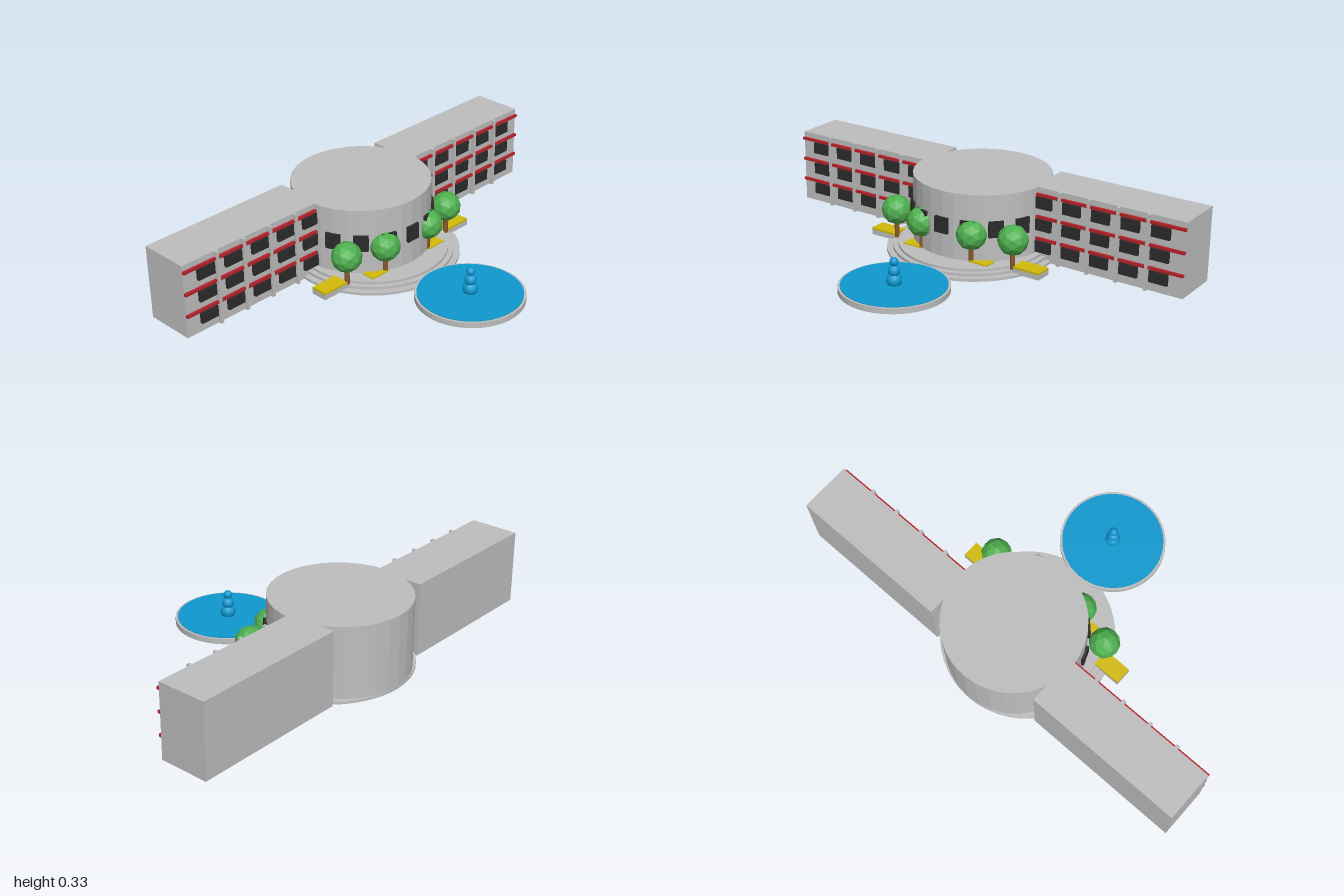
import * as THREE from 'three';

const mat = (name, color, flatShading = false) => {
  const m = new THREE.MeshStandardMaterial({ color });
  m.name = name;
  m.flatShading = flatShading;
  return m;
};

export function createModel() {
  const concrete = mat('concrete', 0xbebebe, true);
  const glass = mat('darkGlass', 0x2b2b2b);
  const red = mat('redLedge', 0xb8232a);
  const leaf = mat('leafGreen', 0x4fb04f, true);
  const bark = mat('bark', 0x8a5a2b);
  const yellow = mat('yellowPanel', 0xd2bb0a);
  const water = mat('waterBlue', 0x0f98d0);

  const model = new THREE.Group();
  model.name = 'building';

  const add = (parent, name, geometry, material, x, y, z) => {
    const mesh = new THREE.Mesh(geometry, material);
    mesh.name = name;
    mesh.position.set(x, y, z);
    parent.add(mesh);
    return mesh;
  };
  // Box given by its min and max on each axis
  const box = (parent, name, material, [x0, x1], [y0, y1], [z0, z1]) =>
    add(parent, name, new THREE.BoxGeometry(x1 - x0, y1 - y0, z1 - z0), material,
      (x0 + x1) / 2, (y0 + y1) / 2, (z0 + z1) / 2);
  // Upright cylinder given by its foot
  const drum = (parent, name, material, r, h, x, y, z, sides = 32) =>
    add(parent, name, new THREE.CylinderGeometry(r, r, h, sides), material, x, y + h / 2, z);

  const H = 0.333;
  const hallZ = -0.285;
  const hallR = 0.305;

  // Round central hall with windows around its front
  drum(model, 'centralHall', concrete, hallR, H, 0, 0, hallZ);
  for (let i = -3; i <= 3; i++) {
    const a = (i * Math.PI) / 8;
    const w = add(model, 'hallWindow', new THREE.BoxGeometry(0.065, 0.072, 0.02), glass,
      Math.sin(a) * hallR, 0.181, hallZ + Math.cos(a) * hallR);
    w.rotation.y = a;
  }

  // Round entrance steps
  [[0.378, 0.012], [0.35, 0.024], [0.327, 0.035]].forEach(([r, h]) =>
    drum(model, 'entranceStep', concrete, r, h, 0, 0, -0.212, 48));

  for (const s of [-1, 1]) {
    const side = new THREE.Group();
    side.name = s > 0 ? 'leftSide' : 'rightSide';
    model.add(side);
    const span = (a, b) => (s > 0 ? [a, b] : [-b, -a]);

    // Wing with ledges, windows and pilasters on its front
    box(side, 'wing', concrete, span(0.28, 1), [0, H], [-0.48, -0.255]);
    for (let floor = 0; floor < 3; floor++) {
      const y = 0.1 * floor;
      box(side, 'ledge', red, span(0.29, 1), [y + 0.096, y + 0.108], [-0.258, -0.243]);
      for (let i = 0; i < 5; i++) {
        const x = 0.334 + i * 0.139;
        box(side, 'wingWindow', glass, span(x - 0.042, x + 0.042), [y + 0.042, y + 0.093], [-0.257, -0.241]);
      }
    }
    for (let i = 0; i < 4; i++) {
      const x = 0.417 + i * 0.139;
      box(side, 'pilaster', concrete, span(x - 0.007, x + 0.007), [0, H], [-0.256, -0.239]);
    }

    // Planters topped with yellow panels
    box(side, 'outerPlanter', concrete, span(0.312, 0.44), [0.008, 0.031], [-0.132, -0.056]);
    box(side, 'outerPlanterTop', yellow, span(0.312, 0.44), [0.031, 0.04], [-0.132, -0.056]);
    box(side, 'innerPlanterTop', yellow, span(0.125, 0.22), [0.03, 0.04], [-0.056, 0.003]);

    // Trees
    for (const [x, z] of [[0.305, -0.064], [0.13, -0.012]]) {
      const tree = new THREE.Group();
      tree.name = 'tree';
      tree.position.set(s * x, 0, z);
      side.add(tree);
      drum(tree, 'trunk', bark, 0.011, 0.12, 0, 0.001, 0, 10);
      add(tree, 'crown', new THREE.IcosahedronGeometry(0.067, 1), leaf, 0, 0.155, 0);
    }
  }

  // Round pool with a stacked fountain
  drum(model, 'poolBasin', concrete, 0.233, 0.025, 0, 0, 0.352, 48);
  drum(model, 'poolWater', water, 0.223, 0.004, 0, 0.024, 0.352, 48);
  [[0.033, 0.045], [0.026, 0.086], [0.019, 0.126]].forEach(([r, y]) =>
    add(model, 'fountainBall', new THREE.SphereGeometry(r, 16, 12), water, 0, y, 0.352));

  return model;
}
